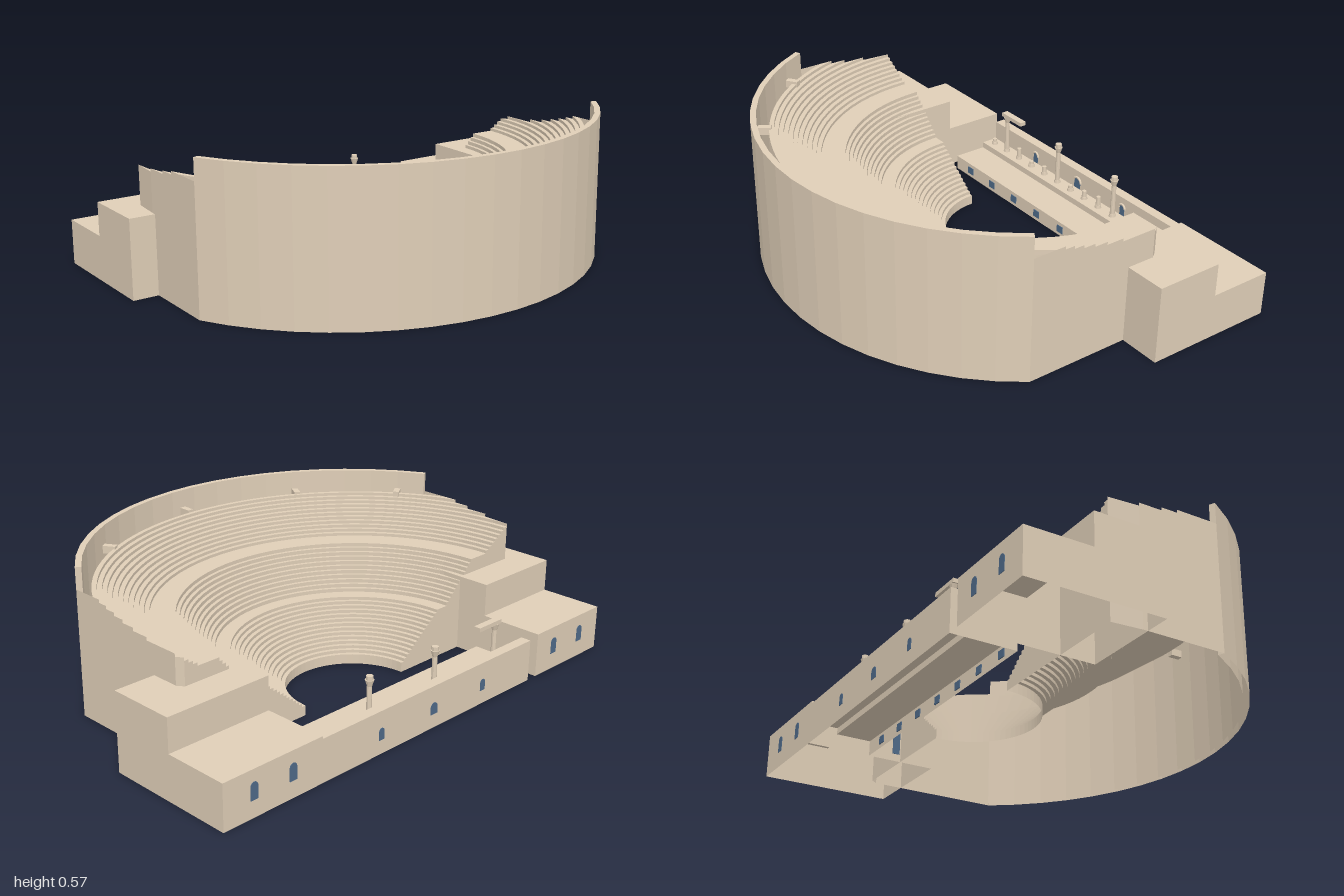
import * as THREE from 'three';

const stone = new THREE.MeshStandardMaterial({ color: 0xdfceb7, side: THREE.DoubleSide, flatShading: true });
stone.name = 'sandstone';
const blue = new THREE.MeshStandardMaterial({ color: 0x4f6a88, side: THREE.DoubleSide });
blue.name = 'dark opening';

// the half ovals are centred at z = CZ and cut off by straight sides
const CZ = -0.31, LEFT = 0.835, RIGHT = 0.9;

// half widths [x, z] of an oval seat row and of a round ring
const oval = (b) => [0.262 + (b - 0.262) * 1.05, b];
const round = (r) => [r, r];

// arc along an oval, whose ends are cut where the oval "edge" meets the sides
function arc([a, b], y, seg, edge = [a, b]) {
  const t0 = edge[0] > LEFT ? Math.acos(LEFT / edge[0]) : 0;
  const t1 = Math.PI - (edge[0] > RIGHT ? Math.acos(RIGHT / edge[0]) : 0);
  return Array.from({ length: seg + 1 }, (_, i) => {
    const t = t0 + (t1 - t0) * i / seg;
    return [a * Math.cos(t), y, CZ + b * Math.sin(t)];
  });
}

// collects quads into one geometry
class Surface {
  constructor() { this.p = []; }
  quad(a, b, c, d) { this.p.push(...a, ...b, ...c, ...a, ...c, ...d); }
  band(r0, y0, r1, y1, seg, edge) {
    const a = arc(r0, y0, seg, edge), b = arc(r1, y1, seg, edge);
    for (let i = 0; i < seg; i++) this.quad(a[i], a[i + 1], b[i + 1], b[i]);
  }
  // vertical faces closing both ends of a ring
  ends(r0, r1, y0, y1, edge) {
    const a = arc(r0, y0, 1, edge), b = arc(r1, y0, 1, edge);
    const up = (p) => [p[0], y1, p[2]];
    this.quad(a[0], up(a[0]), up(b[0]), b[0]);
    this.quad(a[1], b[1], up(b[1]), up(a[1]));
  }
  mesh(name) {
    const g = new THREE.BufferGeometry();
    g.setAttribute('position', new THREE.Float32BufferAttribute(this.p, 3));
    g.computeVertexNormals();
    const m = new THREE.Mesh(g, stone);
    m.name = name;
    return m;
  }
}

// stepped block without a floor; steps are [zBack, zFront, height]
function steppedShell(name, x0, x1, steps) {
  const s = new Surface();
  const riser = (z, ya, yb) => s.quad([x0, ya, z], [x0, yb, z], [x1, yb, z], [x1, ya, z]);
  let last = 0;
  steps.forEach(([z0, z1, h]) => {
    riser(z0, last, h);
    s.quad([x0, h, z0], [x0, h, z1], [x1, h, z1], [x1, h, z0]);
    s.quad([x0, 0, z0], [x0, 0, z1], [x0, h, z1], [x0, h, z0]);
    s.quad([x1, 0, z0], [x1, h, z0], [x1, h, z1], [x1, 0, z1]);
    last = h;
  });
  riser(steps[steps.length - 1][1], 0, last);
  return s.mesh(name);
}

function box(parent, name, x0, x1, y0, y1, z0, z1, mat = stone) {
  const m = new THREE.Mesh(new THREE.BoxGeometry(x1 - x0, y1 - y0, z1 - z0), mat);
  m.name = name;
  m.position.set((x0 + x1) / 2, (y0 + y1) / 2, (z0 + z1) / 2);
  parent.add(m);
  return m;
}

// thin arched plate for doors and windows, centred on the wall plane
function archPlate(parent, name, x, y, z, w, h, turn = 0) {
  const s = new THREE.Shape();
  s.moveTo(-w / 2, 0);
  s.lineTo(w / 2, 0);
  s.lineTo(w / 2, h - w / 2);
  s.absarc(0, h - w / 2, w / 2, 0, Math.PI, false);
  s.lineTo(-w / 2, 0);
  const g = new THREE.ExtrudeGeometry(s, { depth: 0.004, bevelEnabled: false, curveSegments: 6 });
  g.translate(0, 0, -0.002);
  const m = new THREE.Mesh(g, blue);
  m.name = name;
  m.position.set(x, y, z);
  m.rotation.y = turn;
  parent.add(m);
}

function column(parent, x, y, h, z, whole) {
  const g = new THREE.Group();
  g.name = whole ? 'standingColumn' : 'brokenColumn';
  const add = (name, r0, r1, height, at) => {
    const m = new THREE.Mesh(new THREE.CylinderGeometry(r0, r1, height, 10), stone);
    m.name = name;
    m.position.y = at + height / 2;
    g.add(m);
  };
  add('columnBase', 0.012, 0.014, 0.012, 0);
  add('columnShaft', 0.009, 0.0105, h, 0);
  if (whole) {
    add('columnCapital', 0.017, 0.009, 0.025, h - 0.025);
    add('columnTop', 0.013, 0.013, 0.015, h);
  }
  g.position.set(x, y, z);
  parent.add(g);
}

export function createModel() {
  const model = new THREE.Group();
  model.name = 'ancientTheatre';

  // three blocks of stepped seats with two walkways: rows, depth, rise, walkway
  const seats = new Surface();
  let r = 0.262, y = 0.027;
  seats.band(oval(r), 0, oval(r), y, 36);
  [[14, 0.015, 0.0125, 0.04], [11, 0.0135, 0.0145, 0.078], [11, 0.0174, 0.0119, 0]].forEach(([n, depth, rise, walk]) => {
    for (let i = 0; i < n; i++) {
      const outer = r + depth + (i === n - 1 ? walk : 0);
      seats.band(oval(r), y, oval(r), y + rise, 36);
      y += rise;
      seats.band(oval(r), y, oval(outer), y, 36);
      seats.ends(oval(r), oval(outer), 0, y);
      r = outer;
    }
  });
  model.add(seats.mesh('seatRows'));

  // tall curved outer wall, open below
  const wall = new Surface();
  const R = round(1.005), IN = round(0.982), H = 0.575;
  wall.band(R, 0, R, H, 18, R);
  wall.band(IN, 0, IN, H, 18, R);
  wall.band(IN, H, R, H, 18, R);
  wall.ends(IN, R, 0, H, R);
  wall.ends(oval(r), R, 0, y);
  model.add(wall.mesh('outerWall'));

  // small piers tying the seats to the wall
  [59, 90, 121, 147].forEach((deg) => {
    const t = deg * Math.PI / 180;
    const pier = box(model, 'wallPier', 0, 0.06, 0, 0.03, 0, 0.025);
    pier.position.set(0.96 * Math.cos(t), y - 0.005, CZ + 0.96 * Math.sin(t));
    pier.rotation.y = -t;
  });

  // stepped side buildings with arched back windows
  const BACK = -0.697;
  [['leftBuilding', 0.565, 1, [0.7, 0.87]], ['rightBuilding', -1, -0.603, [-0.71, -0.88]]].forEach(([name, x0, x1, windows]) => {
    const g = new THREE.Group();
    g.name = name;
    g.add(steppedShell('buildingShell', x0, x1, [[BACK, -0.44, 0.175], [-0.44, -0.172, 0.305]]));
    windows.forEach((x) => archPlate(g, 'archedWindow', x, 0.065, BACK, 0.032, 0.065));
    model.add(g);
  });
  archPlate(model, 'sideDoor', 0.565, 0.03, -0.33, 0.03, 0.1, Math.PI / 2);

  // stage with back wall, column podium and front platform
  const stage = new THREE.Group();
  stage.name = 'stage';
  stage.add(steppedShell('stageShell', -0.555, 0.565, [[BACK, -0.655, 0.165], [-0.655, -0.585, 0.085], [-0.585, -0.445, 0.06]]));
  [-0.27, 0.005, 0.28].forEach((x, i) => {
    const w = i === 1 ? 0.036 : 0.026;
    archPlate(stage, 'stageDoorBack', x, 0.055, BACK, w, 0.045);
    archPlate(stage, 'stageDoorFront', x, 0.087, -0.655, w, 0.045);
    const frame = new THREE.Mesh(new THREE.TorusGeometry(w / 2 + 0.004, 0.005, 6, 10, Math.PI), stone);
    frame.name = 'doorArch';
    frame.position.set(x, 0.132 - w / 2, -0.653);
    stage.add(frame);
  });
  for (let i = -3; i <= 3; i++) {
    box(stage, 'stageNiche', i * 0.151 - 0.017, i * 0.151 + 0.017, 0.015, 0.045, -0.449, -0.442, blue);
  }

  // row of columns, most of them broken
  for (let i = 0; i < 13; i++) {
    const whole = [1, 5, 9].includes(i);
    column(stage, -0.515 + i * 0.0863, 0.085, whole ? 0.165 : 0.025 + 0.012 * (i % 3), -0.62, whole);
  }
  box(stage, 'columnBeam', -0.45, -0.322, 0.25, 0.266, -0.634, -0.606);
  model.add(stage);

  return model;
}
